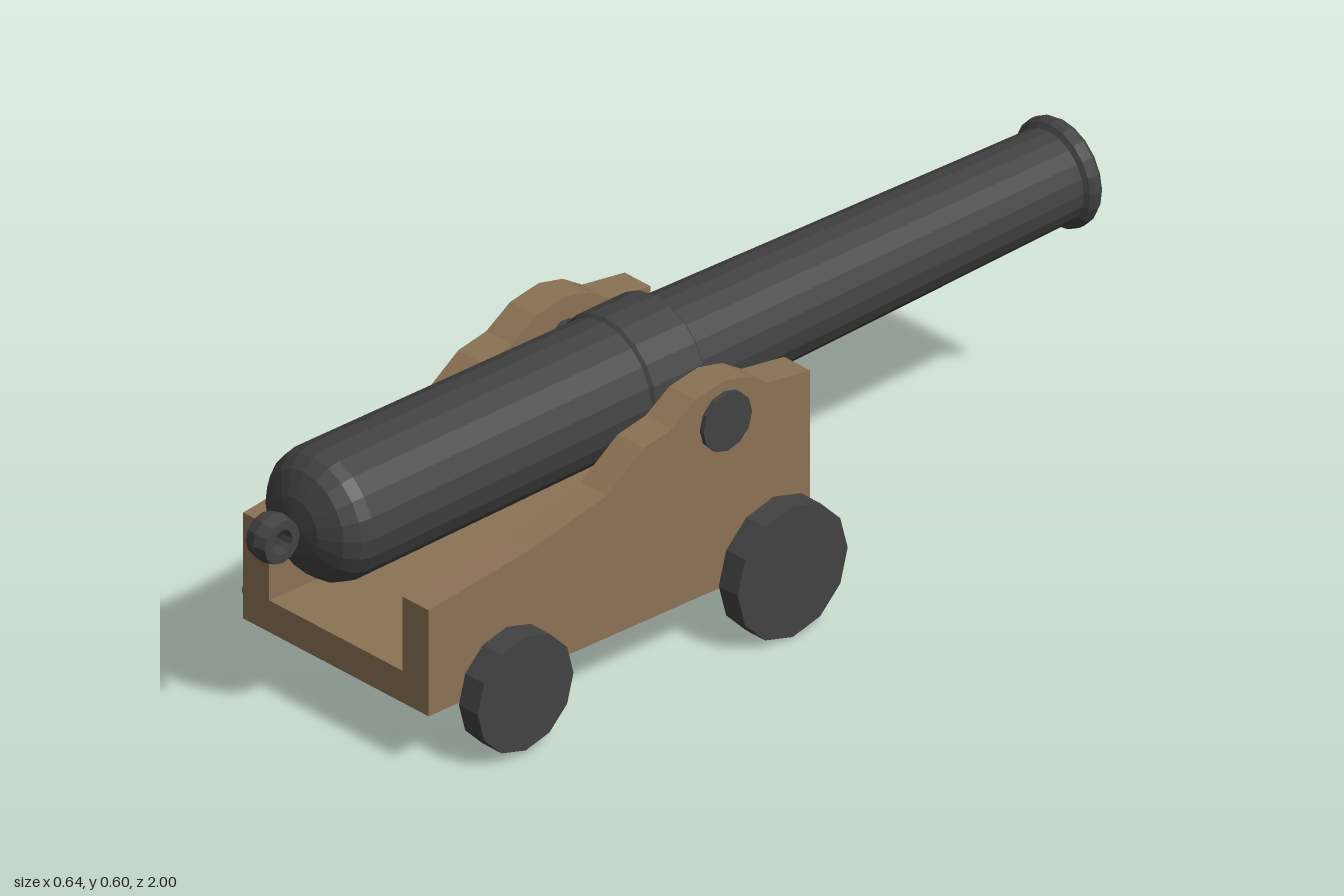
import * as THREE from 'three';

export function createModel() {
  const model = new THREE.Group();
  model.name = 'cannon';
  const iron = new THREE.MeshStandardMaterial({ color: 0x424242, flatShading: true });
  const wood = new THREE.MeshStandardMaterial({ color: 0x8b7355, flatShading: true });

  const add = (name, geometry, material, x, y, z, parent = model) => {
    const mesh = new THREE.Mesh(geometry, material);
    mesh.name = name;
    mesh.position.set(x, y, z);
    parent.add(mesh);
    return mesh;
  };
  const shapeOf = (pts) => new THREE.Shape(pts.map(([a, b]) => new THREE.Vector2(a, b)));
  const lathe = (pts, sides) =>
    new THREE.LatheGeometry(pts.map(([r, t]) => new THREE.Vector2(r, t)), sides);
  // Cylinder lying along x
  const crossBar = (r, length, sides) =>
    new THREE.CylinderGeometry(r, r, length, sides).rotateZ(Math.PI / 2);

  // Barrel, turned about its own axis and tilted slightly up on the trunnions
  const gun = new THREE.Group();
  gun.name = 'gun';
  gun.position.set(0, 0.464, 0.067);
  gun.rotation.x = -Math.PI / 2 + 0.021;
  model.add(gun);
  add('barrel', lathe([
    [0, -0.838], [0.06, -0.828], [0.106, -0.805], [0.126, -0.78], [0.133, -0.755],
    [0.127, -0.066], [0.134, -0.06], [0.134, 0.06], [0.127, 0.067], [0.115, 0.069],
    [0.093, 1.03], [0.104, 1.036], [0.109, 1.044], [0.109, 1.057], [0.104, 1.065],
    [0.088, 1.067], [0.082, 1.05], [0.078, 0.45], [0, 0.45],
  ], 20), iron, 0, 0, 0, gun);

  // Ring behind the breech
  const ring = lathe([
    [0.025, -0.026], [0.043, -0.026], [0.049, 0], [0.043, 0.026], [0.025, 0.026],
    [0.022, 0], [0.025, -0.026],
  ], 12).rotateZ(Math.PI / 2);
  add('breechRing', ring, iron, 0, -0.884, 0, gun);

  // Trunnion bar with a cap at each end
  add('trunnion', crossBar(0.035, 0.5, 10), iron, 0, 0.463, 0.067);
  for (const side of [-1, 1]) {
    add('trunnionCap', crossBar(0.06, 0.02, 12), iron, side * 0.25, 0.463, 0.067);
  }

  // Stepped side cheeks, profile given as z, y
  const cheekProfile = [
    [0.795, 0.118], [0.795, 0.338], [0.544, 0.371], [0.357, 0.413], [0.265, 0.478],
    [0.196, 0.492], [0.137, 0.531], [0.067, 0.544], [0.008, 0.531], [-0.04, 0.501],
    [-0.145, 0.487], [-0.145, 0.118],
  ];
  const cheek = new THREE.ExtrudeGeometry(
    shapeOf(cheekProfile.map(([z, y]) => [-z, y])), { depth: 0.07, bevelEnabled: false });
  cheek.rotateY(Math.PI / 2).translate(-0.035, 0, 0);
  for (const side of [-1, 1]) add('cheek', cheek, wood, side * 0.215, 0, 0);

  // Bed between the cheeks and the notched front transom
  add('bed', new THREE.BoxGeometry(0.36, 0.066, 0.92), wood, 0, 0.151, 0.335);
  const transom = new THREE.ExtrudeGeometry(shapeOf([
    [-0.18, 0.118], [0.18, 0.118], [0.18, 0.338], [0.09, 0.29], [0, 0.272],
    [-0.09, 0.29], [-0.18, 0.338],
  ]), { depth: 0.025, bevelEnabled: false });
  add('transom', transom, wood, 0, 0, -0.145);

  // Axles and wheels: larger pair at the muzzle end, smaller pair at the breech end
  for (const { z, y, r } of [{ z: -0.04, y: 0.1355, r: 0.1355 }, { z: 0.618, y: 0.127, r: 0.118 }]) {
    add('axle', crossBar(0.036, 0.56, 10), iron, 0, y - 0.002, z);
    for (const side of [-1, 1]) {
      add('wheel', crossBar(r, 0.051, 12), iron, side * 0.2925, y, z);
    }
  }
  return model;
}
